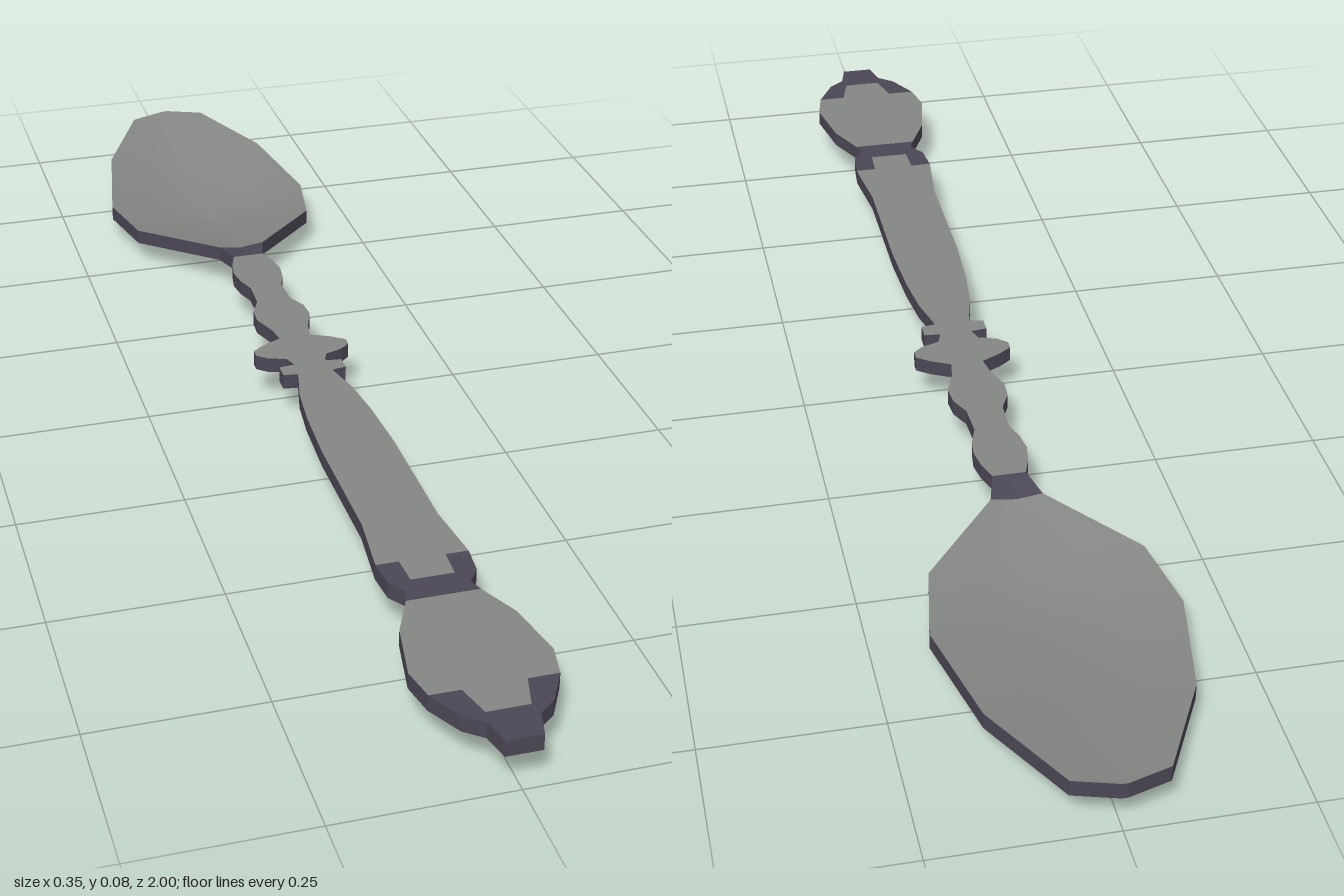
import * as THREE from 'three';

const THICK = 0.024;
const FRACTIONS = [-1, -0.5, 0, 0.5, 1];

// Cross-sections: [z, half width, rim top y, centre top y, dark: 0 none / 1 outer strips / 2 all, until the next section]
const BOWL = [
  [-1, 0.004, 0.079, 0.079, 0],
  [-0.98, 0.065, 0.077, 0.074, 0],
  [-0.83, 0.14, 0.067, 0.05, 0],
  [-0.65, 0.175, 0.056, 0.024, 0],
  [-0.53, 0.153, 0.062, 0.044, 0],
  [-0.4, 0.038, 0.076, 0.071, 2],
  [-0.35, 0.025, 0.08, 0.08, 0],
];

// Flat parts: [z, half width, dark]
const flat = rows => rows.map(([z, w, dark = 0]) => [z, w, 0.08, 0.08, dark]);
const STEM = flat([
  [-0.35, 0.025], [-0.32, 0.035], [-0.29, 0.04], [-0.26, 0.036], [-0.23, 0.026],
  [-0.18, 0.028], [-0.15, 0.042], [-0.12, 0.044], [-0.08, 0.03], [-0.05, 0.025],
]);
const COLLAR = flat([
  [-0.05, 0.025], [-0.035, 0.055], [-0.02, 0.075], [-0.005, 0.075], [0.008, 0.06],
  [0.018, 0.032], [0.038, 0.025], [0.041, 0.05], [0.066, 0.05], [0.069, 0.028], [0.08, 0.03],
]);
const GRIP = flat([
  [0.08, 0.03], [0.13, 0.042], [0.2, 0.05], [0.3, 0.055], [0.5, 0.055],
  [0.58, 0.064], [0.6, 0.066, 1], [0.645, 0.062, 2], [0.67, 0.045, 2], [0.69, 0.052],
]);
const FINIAL = flat([
  [0.69, 0.052], [0.75, 0.08], [0.84, 0.097], [0.89, 0.087, 1],
  [0.94, 0.06, 2], [0.96, 0.035, 2], [1, 0.025],
]);

// Skin over a grid of points; isDark(i, j) picks the material of each quad
function skin(rows, isDark, smooth) {
  const cols = rows[0].length;
  const index = [[], []];
  for (let i = 0; i < rows.length - 1; i++) {
    for (let j = 0; j < cols - 1; j++) {
      const a = i * cols + j, b = a + 1, d = a + cols, c = d + 1;
      // diagonals mirrored about the middle
      const quad = j < (cols - 1) / 2 ? [a, d, c, a, c, b] : [a, d, b, d, c, b];
      index[isDark(i, j) ? 1 : 0].push(...quad);
    }
  }
  let geo = new THREE.BufferGeometry();
  geo.setAttribute('position', new THREE.Float32BufferAttribute(rows.flat(2), 3));
  geo.setIndex([...index[0], ...index[1]]);
  if (!smooth) geo = geo.toNonIndexed();
  geo.computeVertexNormals();
  geo.addGroup(0, index[0].length, 0);
  geo.addGroup(index[0].length, index[1].length, 1);
  return geo;
}

function buildPart(name, sections, materials) {
  const part = new THREE.Group();
  part.name = name;
  const surface = drop => sections.map(([z, w, rim, mid]) =>
    FRACTIONS.map(f => [f * w, mid + (rim - mid) * Math.abs(f) - drop, z]));
  const top = surface(0), bottom = surface(THICK);
  const isDark = (i, j) => sections[i][4] === 2 || (sections[i][4] === 1 && (j === 0 || j === 3));
  const add = (label, geo) => {
    const mesh = new THREE.Mesh(geo, materials);
    mesh.name = label;
    part.add(mesh);
  };
  const reversed = rows => rows.map(r => [...r].reverse());
  const always = () => true;
  add(name + 'Top', skin(top, isDark, true));
  add(name + 'Underside', skin(reversed(bottom), isDark, true));
  // dark rim on both sides
  add(name + 'LeftEdge', skin(top.map((r, i) => [r[4], bottom[i][4]]), always, false));
  add(name + 'RightEdge', skin(top.map((r, i) => [bottom[i][0], r[0]]), always, false));
  // closing faces at the two ends of the spoon
  const last = sections.length - 1;
  if (sections[0][0] === -1) add('bowlTip', skin([bottom[0], top[0]], always, false));
  if (sections[last][0] === 1) add('handleEnd', skin([top[last], bottom[last]], always, false));
  return part;
}

export function createModel() {
  const metal = new THREE.MeshStandardMaterial({ color: 0x848784 });
  metal.name = 'greyMetal';
  const tarnish = new THREE.MeshStandardMaterial({ color: 0x4c4756 });
  tarnish.name = 'darkTarnish';
  const materials = [metal, tarnish];

  const spoon = new THREE.Group();
  spoon.name = 'spoon';
  const parts = { bowl: BOWL, stem: STEM, collar: COLLAR, grip: GRIP, finial: FINIAL };
  for (const [name, sections] of Object.entries(parts)) spoon.add(buildPart(name, sections, materials));
  return spoon;
}
